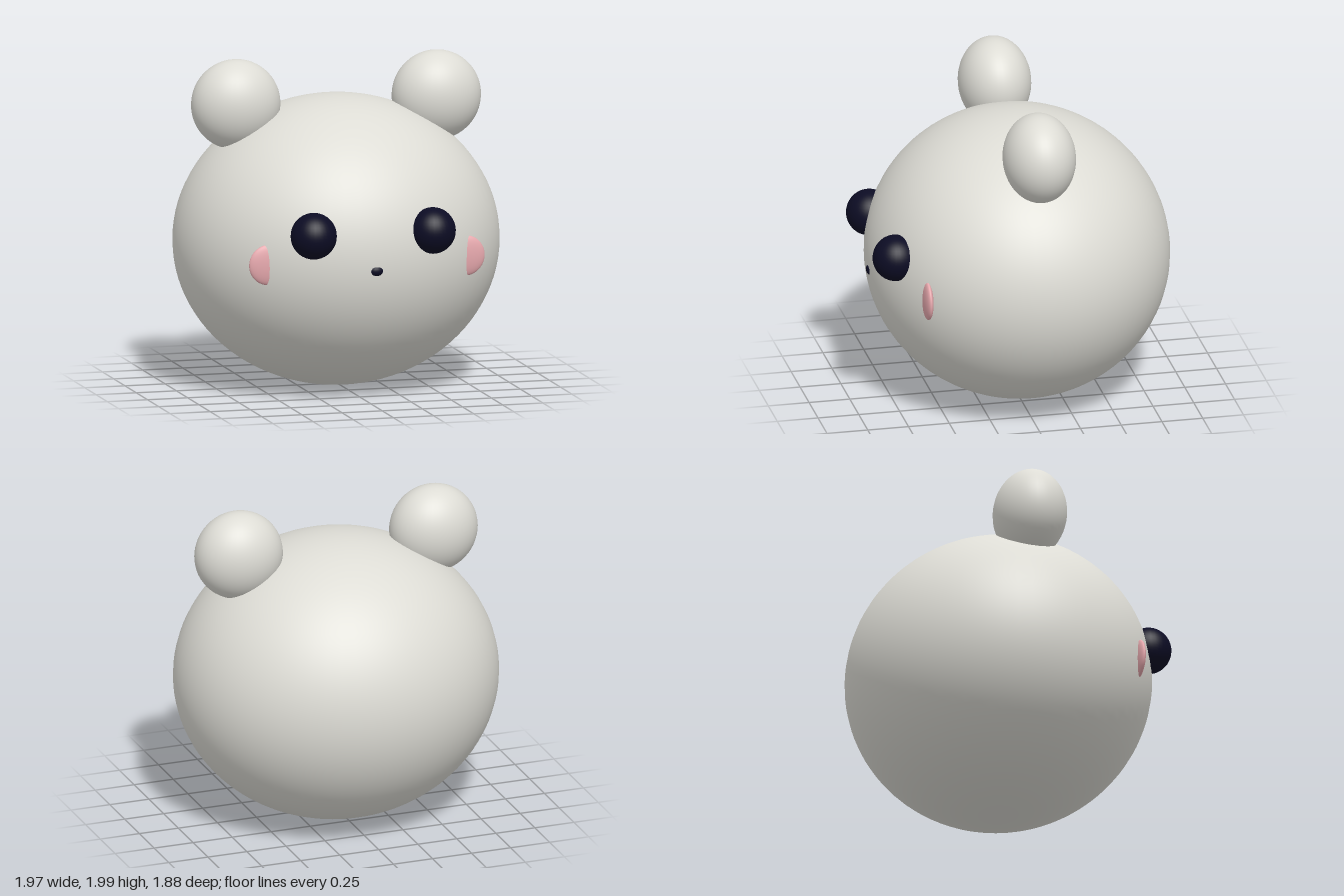
import * as THREE from 'three';

export function createModel() {
  const group = new THREE.Group();
  const material = (name, color) => {
    const m = new THREE.MeshStandardMaterial({ color });
    m.name = name;
    return m;
  };
  const fur = material('pale grey fur', 0xdddcd5);
  const dark = material('midnight navy', 0x0c0c24);
  const pink = material('blush pink', 0xe6a8ad);

  // Smooth ellipsoid from a centre and three radii
  function ellipsoid(name, mat, centre, radii, segments = 32) {
    const geometry = new THREE.SphereGeometry(1, segments, Math.round(segments * 0.75));
    geometry.scale(...radii);
    const mesh = new THREE.Mesh(geometry, mat);
    mesh.name = name;
    mesh.position.set(...centre);
    group.add(mesh);
  }

  ellipsoid('head', fur, [0, 0.883, -0.025], [0.986, 0.877, 0.915], 64);
  ellipsoid('nose', dark, [0, 0.835, 0.872], [0.045, 0.033, 0.028], 16);

  // Paired features, left on +x
  for (const [side, s] of [['left', 1], ['right', -1]]) {
    ellipsoid(side + 'Ear', fur, [s * 0.624, 1.728, -0.025], [0.272, 0.272, 0.218], 40);
    ellipsoid(side + 'Eye', dark, [s * 0.37, 1.052, 0.8], [0.139, 0.14, 0.139]);
    ellipsoid(side + 'Cheek', pink, [s * 0.61, 0.865, 0.66], [0.123, 0.123, 0.03]);
  }
  return group;
}
